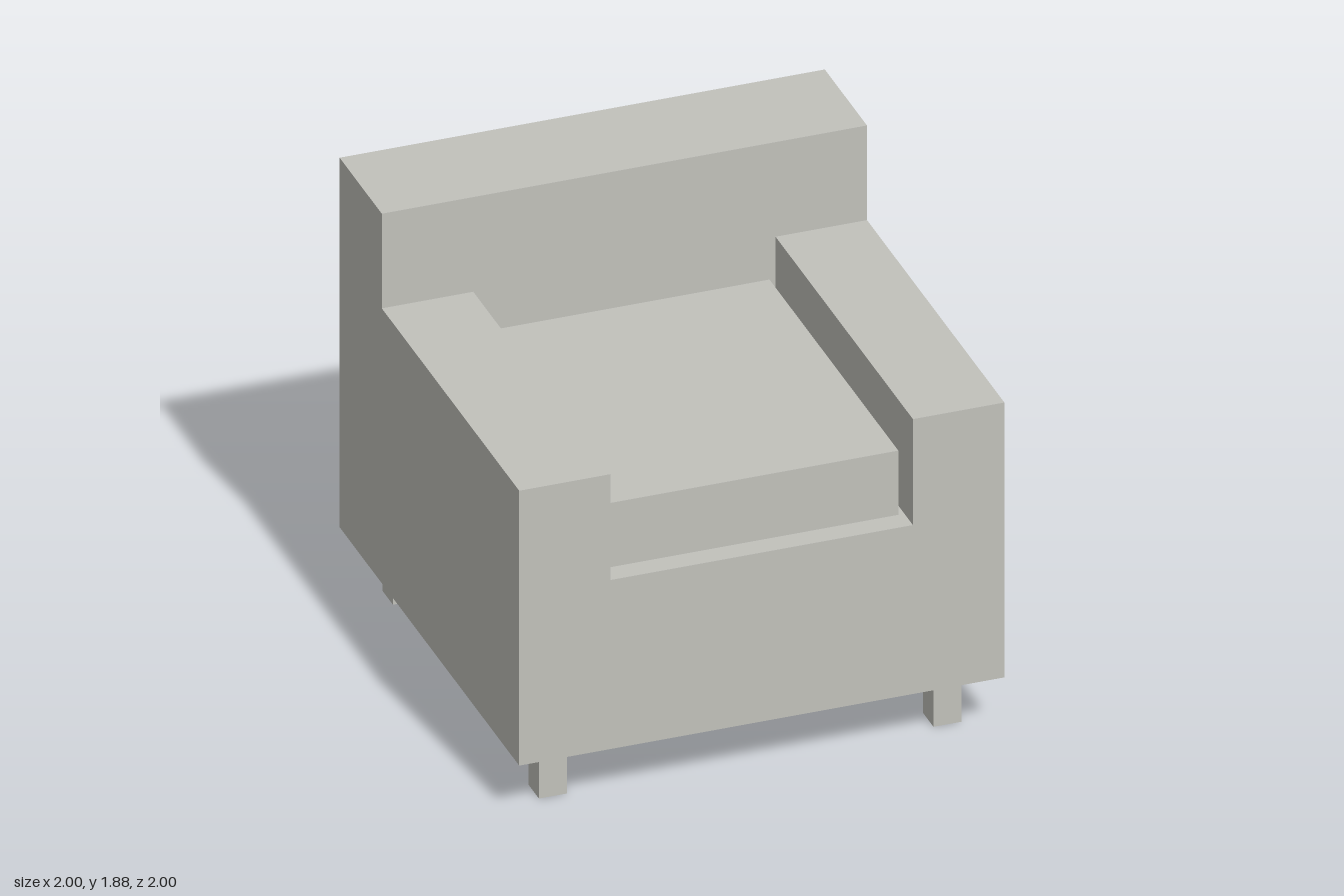
import * as THREE from 'three';

export function createModel() {
  const model = new THREE.Group();
  model.name = 'armchair';

  const upholstery = new THREE.MeshStandardMaterial({ color: 0xc1c1bb });
  upholstery.name = 'warm light grey';

  const add = (name, geometry) => {
    const mesh = new THREE.Mesh(geometry, upholstery);
    mesh.name = name;
    model.add(mesh);
    return mesh;
  };

  // Box given by its lower and upper limits on each axis
  const addBox = (name, [x0, x1], [y0, y1], [z0, z1]) => {
    const mesh = add(name, new THREE.BoxGeometry(x1 - x0, y1 - y0, z1 - z0));
    mesh.position.set((x0 + x1) / 2, (y0 + y1) / 2, (z0 + z1) / 2);
  };

  const bottom = 0.24, seatTop = 0.99, armTop = 1.46, backTop = 1.88;
  const armInner = 0.623, backFront = -0.53;

  // Seat base and both arms as one U-shaped body
  const profile = new THREE.Shape([
    [-1, bottom], [1, bottom], [1, armTop], [armInner, armTop],
    [armInner, seatTop], [-armInner, seatTop], [-armInner, armTop], [-1, armTop],
  ].map(([x, y]) => new THREE.Vector2(x, y)));
  const body = add('seatBaseAndArms',
    new THREE.ExtrudeGeometry(profile, { depth: 1 - backFront, bevelEnabled: false }));
  body.position.z = backFront;

  // Full-width backrest
  addBox('backrest', [-1, 1], [bottom, backTop], [-1, backFront]);

  // Loose cushion, set back from the front edge
  addBox('seatCushion', [-0.598, 0.598], [seatTop, 1.275], [backFront, 0.905]);

  // Four square legs
  for (const [side, sx] of [['left', 1], ['right', -1]]) {
    for (const [end, sz] of [['Front', 1], ['Back', -1]]) {
      const leg = add(`${side}${end}Leg`, new THREE.BoxGeometry(0.115, bottom, 0.115));
      leg.position.set(sx * 0.813, bottom / 2, sz * 0.813);
    }
  }

  return model;
}
